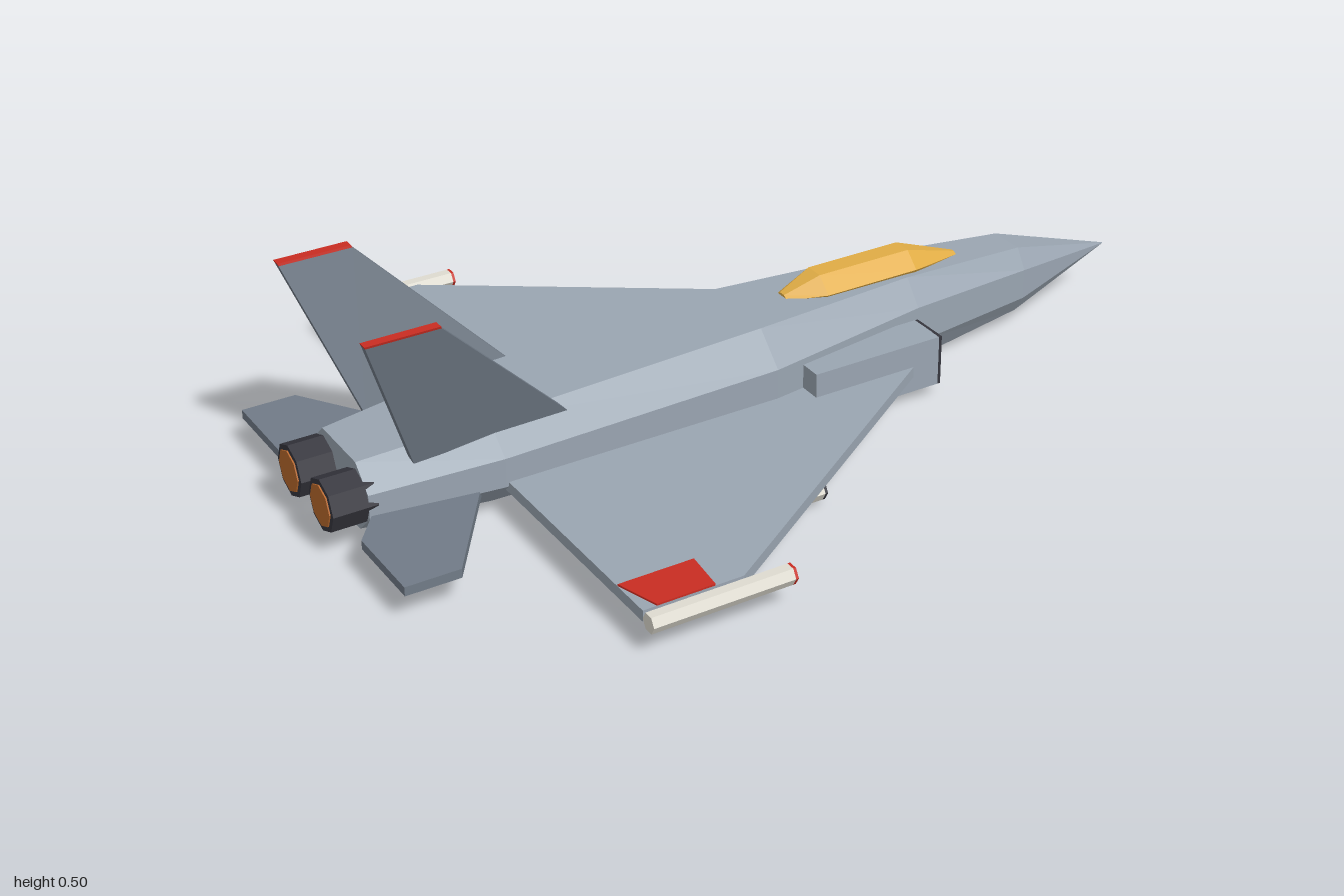
import * as THREE from 'three';

const mat = (name, color, extra = {}) =>
  Object.assign(new THREE.MeshStandardMaterial({ color, flatShading: true, ...extra }), { name });

// Skin stretched over rings of [y, z] points; each section is { x, ring }
function loft(sections) {
  const pos = [];
  const at = (s, j) => [s.x, ...s.ring[j % s.ring.length]];
  const n = sections[0].ring.length;
  for (let i = 0; i < sections.length - 1; i++) {
    for (let j = 0; j < n; j++) {
      const a = at(sections[i], j), b = at(sections[i], j + 1);
      const c = at(sections[i + 1], j + 1), d = at(sections[i + 1], j);
      pos.push(...a, ...b, ...c, ...a, ...c, ...d);
    }
  }
  const first = sections[0], last = sections[sections.length - 1];
  for (let j = 1; j < n - 1; j++) {
    pos.push(...at(first, 0), ...at(first, j + 1), ...at(first, j));
    pos.push(...at(last, 0), ...at(last, j), ...at(last, j + 1));
  }
  const g = new THREE.BufferGeometry();
  g.setAttribute('position', new THREE.Float32BufferAttribute(pos, 3));
  g.computeVertexNormals();
  return g;
}

// Extruded outline without bevel
function plate(points, depth) {
  const shape = new THREE.Shape(points.map(([x, y]) => new THREE.Vector2(x, y)));
  return new THREE.ExtrudeGeometry(shape, { depth, bevelEnabled: false });
}

// Horizontal plate from [x, z] points, with its upper face at height top
const flat = (points, top, thick) => plate(points, thick).rotateX(Math.PI / 2).translate(0, top, 0);

// Upright plate from [x, y] points, leaning outward from the body
function canted(points, thick, side) {
  const g = plate(points, thick).translate(0, 0, -thick / 2);
  const p = g.attributes.position;
  for (let i = 0; i < p.count; i++) {
    p.setZ(i, p.getZ(i) + side * (0.115 + 0.27 * (p.getY(i) - 0.18)));
  }
  g.computeVertexNormals();
  return g;
}

// Cylinder lying along x from x0 to x1
const rod = (r, x0, x1, sides) =>
  new THREE.CylinderGeometry(r, r, x1 - x0, sides).rotateZ(-Math.PI / 2).translate((x0 + x1) / 2, 0, 0);

export function createModel() {
  const group = new THREE.Group();
  group.name = 'jet';
  const body = mat('body grey', 0x9aa5b1);
  const tail = mat('tail grey', 0x717b87);
  const dark = mat('dark metal', 0x35353d);
  const gold = mat('canopy gold', 0xe0ac45);
  const red = mat('marking red', 0xc92d22);
  const white = mat('missile white', 0xdedbd0);
  const glow = mat('exhaust orange', 0xb8682c);

  const add = (name, geometry, material, x = 0, y = 0, z = 0) => {
    const m = new THREE.Mesh(geometry, material);
    m.name = name;
    m.position.set(x, y, z);
    group.add(m);
    return m;
  };

  // Fuselage: eight-sided sections [x, half width, top, upper side, lower side, bottom]
  const hull = [
    [-0.92, 0.13, 0.18, 0.13, 0.075, 0.027],
    [-0.64, 0.17, 0.203, 0.145, 0.08, 0.013],
    [0, 0.17, 0.226, 0.158, 0.08, 0.004],
    [0.4, 0.11, 0.222, 0.166, 0.08, 0.008],
    [0.72, 0.07, 0.2, 0.155, 0.085, 0.042],
    [1, 0.001, 0.122, 0.1213, 0.1207, 0.12],
  ].map(([x, w, t, u, l, b]) => ({
    x,
    ring: [[t, 0.6 * w], [u, w], [l, w], [b, 0.6 * w], [b, -0.6 * w], [l, -w], [u, -w], [t, -0.6 * w]],
  }));
  add('fuselage', loft(hull), body);

  // Canopy: [x, top half width, half width, top, middle, bottom]
  const glass = [
    [0.118, 0.008, 0.02, 0.23, 0.222, 0.205],
    [0.2, 0.022, 0.057, 0.262, 0.228, 0.205],
    [0.43, 0.022, 0.057, 0.262, 0.228, 0.203],
    [0.57, 0.004, 0.012, 0.215, 0.21, 0.2],
  ].map(([x, a, w, t, m, b]) => ({
    x,
    ring: [[t, a], [m, w], [b, 0.7 * w], [b, -0.7 * w], [m, -w], [t, -a]],
  }));
  add('canopy', loft(glass), gold);

  for (const s of [1, -1]) {
    const side = s > 0 ? 'left' : 'right';
    const mirror = (pts) => pts.map(([x, z]) => [x, z * s]);

    // Wing and its painted tip panel
    add(side + 'Wing', flat(mirror([[-0.635, 0.1], [0.455, 0.12], [-0.415, 0.7], [-0.635, 0.7]]), 0.09, 0.025), body);
    const z0 = s > 0 ? 0.605 : -0.7;
    add(side + 'WingPanel', flat([[-0.634, z0], [-0.468, z0], [-0.478, z0 + 0.095], [-0.605, z0 + 0.095]], 0.094, 0.005), red);

    // Tailplane
    add(side + 'Tailplane',
      flat(mirror([[-0.97, 0.2], [-0.97, 0.39], [-0.85, 0.39], [-0.66, 0.11], [-0.9, 0.11]]), 0.083, 0.02), tail);

    // Tail fin with coloured tip
    add(side + 'Fin', canted([[-0.815, 0.165], [-0.475, 0.185], [-0.78, 0.497], [-0.938, 0.497]], 0.02, s), tail);
    add(side + 'FinTip', canted([[-0.938, 0.497], [-0.78, 0.497], [-0.782, 0.502], [-0.94, 0.502]], 0.021, s), red);

    // Air intake with dark mouth
    add(side + 'Intake', new THREE.BoxGeometry(0.315, 0.115, 0.09), body, 0.2275, 0.0875, s * 0.165);
    add(side + 'IntakeMouth', new THREE.BoxGeometry(0.008, 0.115, 0.09), dark, 0.388, 0.0875, s * 0.165);

    // Wingtip missile
    add(side + 'TipMissile', rod(0.021, -0.635, -0.325, 6), white, 0, 0.073, s * 0.72);
    add(side + 'TipMissileNose', rod(0.021, -0.325, -0.319, 6), red, 0, 0.073, s * 0.72);

    // Underwing missile on a slim pylon
    add(side + 'WingMissile', rod(0.022, -0.42, -0.076, 6), white, 0, 0.036, s * 0.445);
    add(side + 'WingMissileNose', rod(0.022, -0.076, -0.07, 6), dark, 0, 0.036, s * 0.445);
    add(side + 'Pylon', new THREE.BoxGeometry(0.16, 0.025, 0.012), tail, -0.23, 0.06, s * 0.445);

    // Engine nozzle and exhaust disc
    const nozzle = rod(0.058, -0.997, -0.9, 8);
    add(side + 'Nozzle', nozzle, dark, 0, 0.106, s * 0.076);
    add(side + 'Exhaust', rod(0.046, -1, -0.996, 8), glow, 0, 0.106, s * 0.076);
  }
  return group;
}
